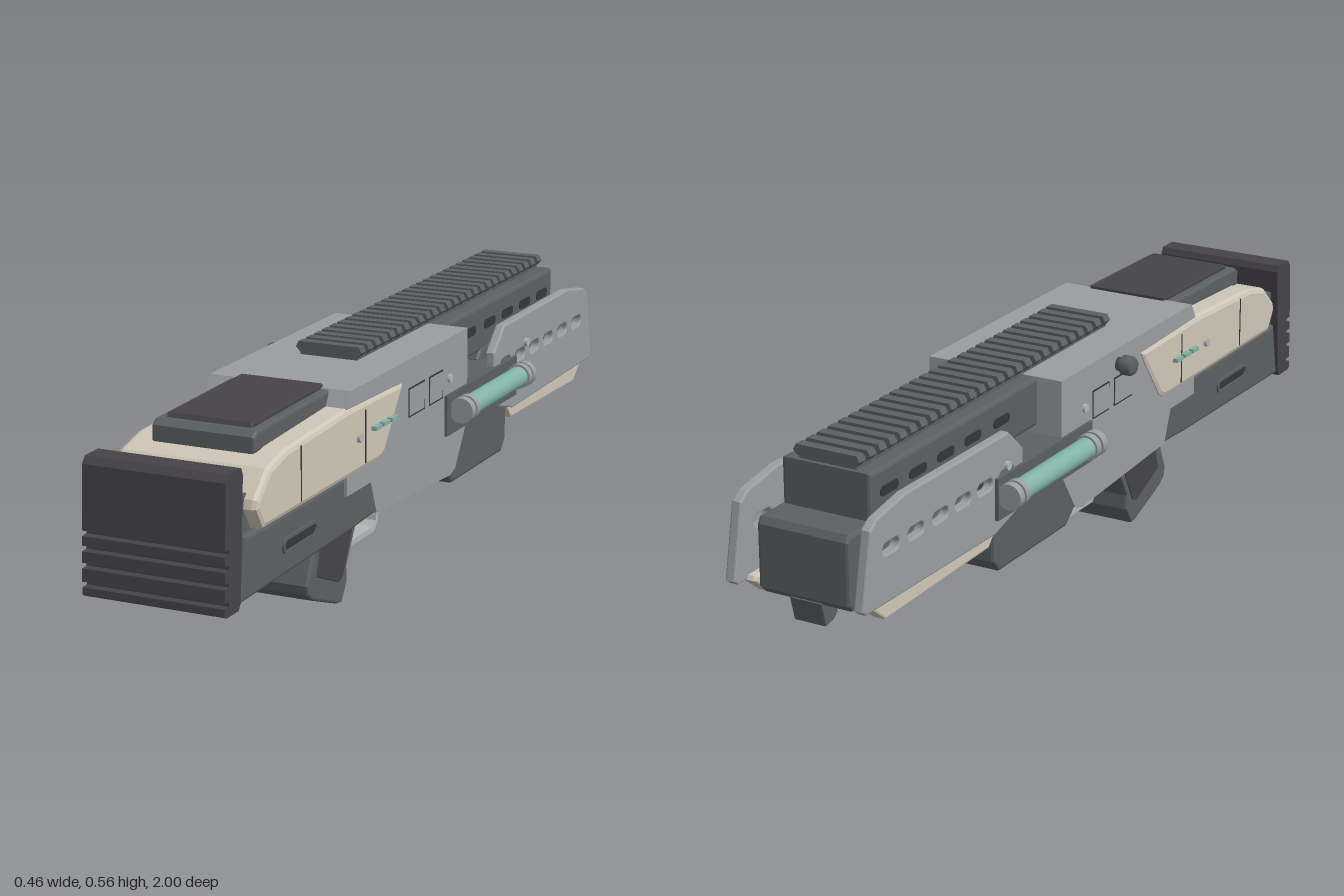
import * as THREE from 'three';

const mat = (name, color) => Object.assign(new THREE.MeshStandardMaterial({ color }), { name });

export function createModel() {
  const root = new THREE.Group();
  const gray = mat('receiver gray', 0x999ea1), dark = mat('dark gray', 0x5b6062);
  const black = mat('rubber charcoal', 0x454349), beige = mat('beige', 0xcec6b7);
  const green = mat('cell green', 0x82b3a4), light = mat('light metal', 0xb4b5b5);
  const deep = mat('recess black', 0x34363a);

  const add = (name, geo, material, x = 0, y = 0, z = 0) => {
    const m = new THREE.Mesh(geo, material);
    m.name = name;
    m.position.set(x, y, z);
    root.add(m);
    return m;
  };
  const box = (name, m, x0, x1, y0, y1, z0, z1) =>
    add(name, new THREE.BoxGeometry(x1 - x0, y1 - y0, z1 - z0), m, (x0 + x1) / 2, (y0 + y1) / 2, (z0 + z1) / 2);

  // rounded slot outline in the (z, y) plane
  const slotPath = (z, y, len, h) => {
    const p = new THREE.Path(), r = h / 2, a = len / 2 - r;
    p.absarc(z + a, y, r, -Math.PI / 2, Math.PI / 2, false);
    p.absarc(z - a, y, r, Math.PI / 2, Math.PI * 1.5, false);
    p.closePath();
    return p;
  };
  // side profile of [z, y] points extruded from x0 to x1, with chamfered edges
  const slab = (name, m, pts, x0, x1, bevel = 0, holes = []) => {
    const s = new THREE.Shape(pts.map(([z, y]) => new THREE.Vector2(z, y)));
    s.holes = holes;
    const g = new THREE.ExtrudeGeometry(s, {
      depth: x1 - x0 - 2 * bevel, bevelEnabled: bevel > 0, bevelThickness: bevel,
      bevelSize: bevel, bevelOffset: -bevel, bevelSegments: 2, curveSegments: 6,
    });
    g.translate(0, 0, bevel);
    g.rotateY(-Math.PI / 2);
    return add(name, g, m, x1);
  };
  const rodZ = (name, m, r, x, y, z0, z1, n = 28) =>
    add(name, new THREE.CylinderGeometry(r, r, z1 - z0, n).rotateX(Math.PI / 2), m, x, y, (z0 + z1) / 2);

  // butt pad with grooves across its back face
  const back = [[0.915, 0.475], [0.922, 0.49], [0.975, 0.49], [0.988, 0.475]];
  for (const y of [0.33, 0.298, 0.262, 0.222]) {
    const z = 0.988 + (0.475 - y) * 0.045;
    back.push([z, y + 0.006], [z - 0.018, y + 0.005], [z - 0.018, y - 0.005], [z, y - 0.006]);
  }
  back.push([1, 0.2], [0.99, 0.195], [0.94, 0.195], [0.93, 0.21]);
  slab('buttPad', black, back, -0.164, 0.164);
  box('buttNeck', dark, -0.145, 0.145, 0.23, 0.42, 0.84, 0.925);

  // lower stock with a slot in each side
  slab('lowerStock', dark, [[0.93, 0.205], [0.905, 0.34], [0.25, 0.34], [0.25, 0.22], [0.42, 0.212]], -0.163, 0.163, 0.008);
  for (const s of [-1, 1]) {
    const at = (a, b) => s > 0 ? [a, b] : [-b, -a];
    slab('stockSlotRim', dark, slotPath(0.665, 0.272, 0.16, 0.036).getPoints(6).slice(0, -1).map(p => [p.x, p.y]),
      ...at(0.163, 0.168), 0, [slotPath(0.665, 0.272, 0.145, 0.022)]);
    slab('stockSlot', deep, slotPath(0.665, 0.272, 0.145, 0.022).getPoints(6).slice(0, -1).map(p => [p.x, p.y]), ...at(0.162, 0.164));
  }

  // beige stock shell and its seams
  slab('stockShell', beige, [[0.88, 0.39], [0.875, 0.41], [0.82, 0.462], [0.74, 0.482], [0.45, 0.495],
    [0.17, 0.487], [0.185, 0.46], [0.265, 0.352], [0.29, 0.342], [0.85, 0.342]], -0.176, 0.176, 0.012);
  for (const s of [-1, 1]) for (const z of [0.68, 0.37])
    box('shellSeam', deep, s * 0.176 - 0.001, s * 0.176 + 0.001, 0.355, 0.475, z - 0.002, z + 0.002);

  // receiver
  slab('receiver', gray, [[0.45, 0.495], [0.43, 0.53], [-0.195, 0.53], [-0.195, 0.31], [-0.13, 0.21],
    [-0.1, 0.2], [0.3, 0.222], [0.33, 0.3], [0.45, 0.3]], -0.17, 0.17);
  for (const s of [-1, 1]) for (const [z0, z1] of [[0.05, 0.13], [-0.05, 0.02]]) {
    const x = s * 0.17;
    box('sidePanelGap', deep, x - 0.001, x + 0.001, 0.396, 0.464, z0 - 0.003, z1 + 0.003);
    box('sidePanel', gray, x - 0.002, x + 0.002, 0.4, 0.46, z0, z1);
  }

  // cheek rest
  slab('cheekBase', dark, [[0.78, 0.475], [0.78, 0.51], [0.765, 0.521], [0.43, 0.527], [0.43, 0.475]], -0.12, 0.12, 0.006);
  slab('cheekPad', black, [[0.755, 0.515], [0.745, 0.531], [0.42, 0.536], [0.42, 0.515]], -0.1, 0.1, 0.004);

  // magazine housing below the receiver
  slab('magazineHousing', dark, [[-0.1, 0.3], [-0.1, 0.205], [-0.145, 0.167], [-0.44, 0.167], [-0.465, 0.195], [-0.465, 0.3]],
    -0.157, 0.157, 0.008);
  box('cellBed', dark, -0.168, 0.168, 0.296, 0.398, -0.475, -0.19);

  // upper shroud and barrel block
  slab('upperShroud', dark, [[-0.15, 0.415], [-0.15, 0.528], [-0.87, 0.528], [-0.87, 0.415]], -0.108, 0.108, 0.008);
  slab('barrelBlock', dark, [[-0.4, 0.255], [-0.4, 0.4], [-0.42, 0.425], [-0.95, 0.425], [-0.96, 0.41], [-0.96, 0.27], [-0.945, 0.255]],
    -0.112, 0.112, 0.008);
  slab('frontFoot', dark, [[-0.9, 0.26], [-0.895, 0.222], [-0.91, 0.21], [-0.94, 0.205], [-0.955, 0.26]], -0.04, 0.04, 0.004);
  for (const s of [-1, 1]) for (const z of [-0.35, -0.47, -0.58, -0.69, -0.8]) {
    const pts = slotPath(z, 0.477, 0.068, 0.022).getPoints(6).slice(0, -1).map(p => [p.x, p.y]);
    slab('shroudSlot', deep, pts, s * 0.108 - 0.002, s * 0.108 + 0.002);
  }

  // top rail with cross teeth
  slab('railBase', dark, [[0.19, 0.525], [0.19, 0.548], [-0.86, 0.548], [-0.86, 0.525]], -0.07, 0.07);
  const tooth = new THREE.Shape([[-0.07, 0.535], [0.07, 0.535], [0.081, 0.547], [0.074, 0.56], [-0.074, 0.56], [-0.081, 0.547]]
    .map(p => new THREE.Vector2(...p)));
  const toothGeo = new THREE.ExtrudeGeometry(tooth, { depth: 0.024, bevelEnabled: false });
  for (let i = 0; i < 27; i++) add('railTooth', toothGeo, dark, 0, 0, 0.166 - i * 0.0397);

  for (const s of [-1, 1]) {
    const at = (a, b) => s > 0 ? [a, b] : [-b, -a];
    // slotted handguard plates and lower trim
    slab('handguardPlate', gray, [[-0.36, 0.3], [-0.36, 0.43], [-0.42, 0.485], [-0.83, 0.487], [-0.94, 0.468],
      [-0.965, 0.45], [-0.998, 0.285], [-0.985, 0.275], [-0.48, 0.268]], ...at(0.145, 0.169), 0.004,
      [-0.43, -0.52, -0.61, -0.7, -0.795, -0.89].map(z => slotPath(z, 0.392, 0.062, 0.026)));
    box('plateMount', dark, ...at(0.1, 0.148), 0.3, 0.36, -0.85, -0.45);
    slab('handguardTrim', beige, [[-0.45, 0.285], [-0.49, 0.24], [-0.9, 0.232], [-0.955, 0.275], [-0.95, 0.285]],
      ...at(0.125, 0.16), 0.005);

    // side energy cell in its bracket
    box('cellBracket', dark, ...at(0.165, 0.177), 0.302, 0.398, -0.48, -0.065);
    rodZ('cellTube', green, 0.025, s * 0.2, 0.36, -0.44, -0.12);
    for (const [z0, z1] of [[-0.11, -0.09], [-0.137, -0.118], [-0.45, -0.432], [-0.476, -0.457]])
      rodZ('cellRing', gray, 0.03, s * 0.2, 0.36, z0, z1);
    for (const [z0, z1] of [[-0.13, -0.1], [-0.47, -0.44]])
      rodZ('cellCollar', dark, 0.026, s * 0.2, 0.36, z0, z1);

    // indicator lights and pins
    for (const z of [0.295, 0.335, 0.375]) box('indicator', green, ...at(0.2, 0.212), 0.436, 0.445, z - 0.015, z + 0.015);
    for (const z of [0.45, -0.48])
      add('sidePin', new THREE.CylinderGeometry(0.01, 0.01, 0.008, 16).rotateZ(Math.PI / 2), light, s * 0.202, 0.435, z);
    add('receiverPin', new THREE.CylinderGeometry(0.01, 0.01, 0.008, 16).rotateZ(Math.PI / 2), light, s * 0.172, 0.435, -0.09);

    // grip side panel
    slab('gripPanel', black, [[0.4, 0.215], [0.33, 0.222], [0.24, 0.2], [0.255, 0.15], [0.3, 0.062], [0.32, 0.055], [0.43, 0.1]],
      ...at(0.08, 0.088), 0.002);
  }

  // charging knob on the right
  const knob = [[0, 0], [0.016, 0], [0.016, 0.008], [0.023, 0.014], [0.023, 0.034], [0.018, 0.042], [0, 0.042]];
  add('knob', new THREE.LatheGeometry(knob.map(p => new THREE.Vector2(...p)), 20).rotateZ(Math.PI / 2), dark, -0.17, 0.492, 0.067);

  // pistol grip
  slab('grip', dark, [[0.42, 0.23], [0.425, 0.2], [0.472, 0.09], [0.468, 0.068], [0.445, 0.05], [0.32, 0.004], [0.3, 0.002],
    [0.272, 0.045], [0.275, 0.08], [0.24, 0.14], [0.212, 0.19], [0.215, 0.23]], -0.086, 0.086, 0.006);

  // trigger guard and trigger
  slab('triggerGuard', light, [[0.235, 0.215], [0.228, 0.1], [0.205, 0.078], [0.015, 0.078], [-0.005, 0.095], [-0.02, 0.215],
    [-0.007, 0.215], [0.006, 0.102], [0.018, 0.091], [0.2, 0.091], [0.214, 0.105], [0.221, 0.215]], -0.03, 0.03);
  slab('trigger', light, [[0.187, 0.22], [0.184, 0.15], [0.17, 0.125], [0.155, 0.115], [0.152, 0.122], [0.163, 0.14],
    [0.168, 0.165], [0.162, 0.22]], -0.015, 0.015);

  return root;
}
